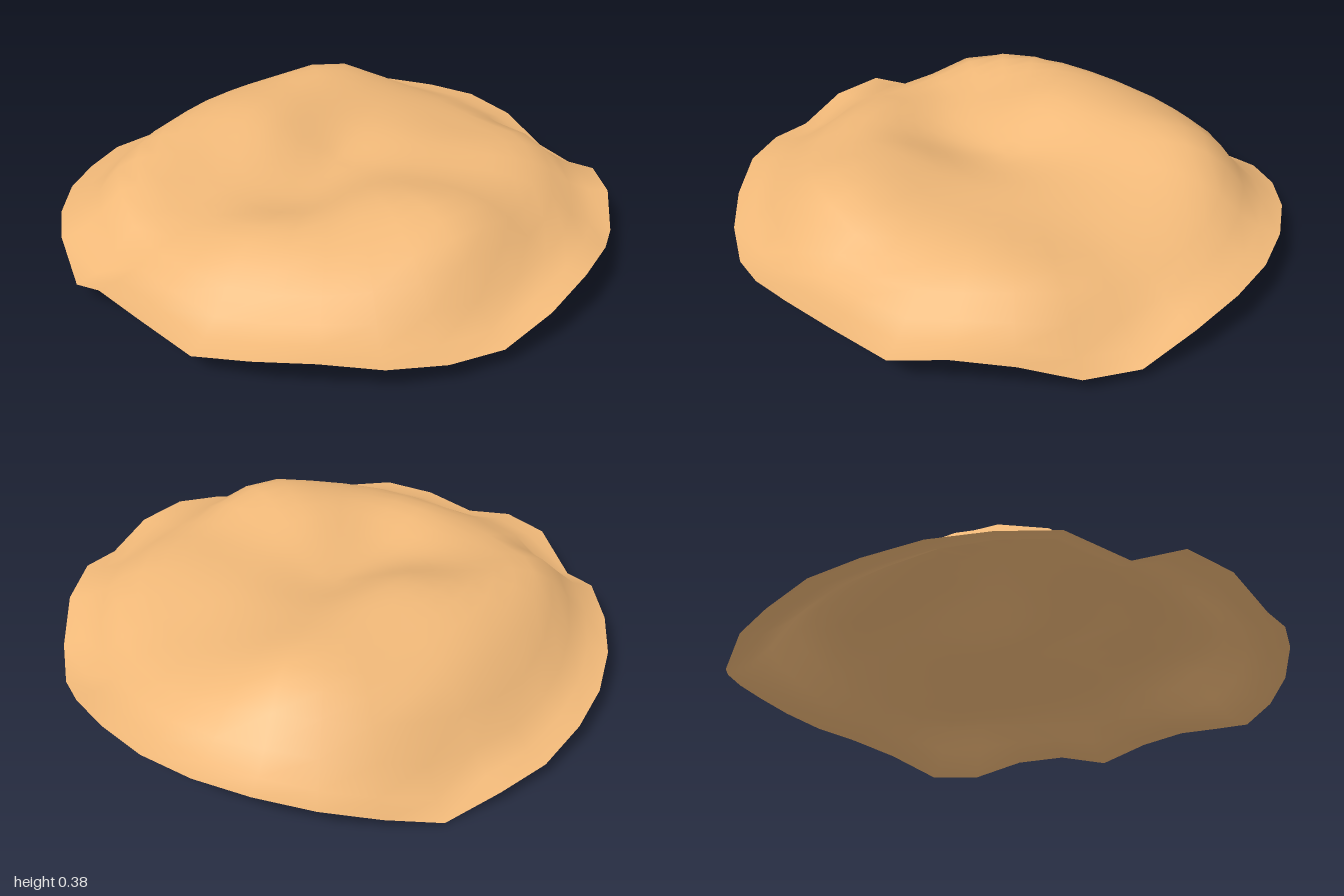
import * as THREE from 'three';
import { mergeVertices } from 'three/addons/utils/BufferGeometryUtils.js';

const SEGMENTS = 32;
const STEP = 0.3;

// Hill heights: rows run back to front, columns from -x to +x, 0.3 apart
const HILLS = [
  [0.00, 0.10, 0.20, 0.20, 0.17, 0.09, 0.05],
  [0.06, 0.22, 0.355, 0.28, 0.22, 0.22, 0.12],
  [0.10, 0.30, 0.37, 0.29, 0.27, 0.28, 0.17],
  [0.13, 0.34, 0.37, 0.25, 0.28, 0.28, 0.17],
  [0.14, 0.33, 0.28, 0.24, 0.33, 0.33, 0.16],
  [0.13, 0.26, 0.23, 0.285, 0.27, 0.22, 0.09],
  [0.10, 0.09, 0.18, 0.15, 0.15, 0.11, 0.07],
];

// Wavy rim heights, starting at the front and turning towards +x
const RIM = [
  0.08, 0.115, 0.13, 0.10, 0.08, 0.07, 0.12, 0.16,
  0.155, 0.105, 0.155, 0.14, 0.065, 0.05, 0.12, 0.15,
  0.15, 0.15, 0.14, 0.11, 0.065, 0.0, 0.045, 0.05,
  0.08, 0.09, 0.11, 0.12, 0.13, 0.06, 0.15, 0.14,
];

// Catmull-Rom interpolation along a list of values, clamped at its ends
function spline(values, t) {
  const last = values.length - 1;
  const i = THREE.MathUtils.clamp(Math.floor(t), 0, last - 1);
  const f = THREE.MathUtils.clamp(t - i, 0, 1);
  const at = (k) => values[THREE.MathUtils.clamp(k, 0, last)];
  const [a, b, c, d] = [at(i - 1), at(i), at(i + 1), at(i + 2)];
  return b + 0.5 * f * (c - a + f * (2 * a - 5 * b + 4 * c - d + f * (3 * (b - c) + d - a)));
}

function heightAt(x, z) {
  const u = x / STEP + 3;
  const v = z / STEP + 3;
  const hill = spline(HILLS.map((row) => spline(row, u)), v);
  const turn = (Math.atan2(x, z) / (2 * Math.PI) + 1) * SEGMENTS;
  const k = Math.floor(turn + 1e-4);
  const rim = THREE.MathUtils.lerp(RIM[k % SEGMENTS], RIM[(k + 1) % SEGMENTS], Math.max(0, turn - k));
  const blend = THREE.MathUtils.smoothstep(Math.hypot(x, z), 0.75, 1);
  return THREE.MathUtils.lerp(hill, rim, blend);
}

export function createModel() {
  const group = new THREE.Group();
  group.name = 'terrain';

  // Round sheet of ground, raised into hills and valleys
  let geometry = new THREE.RingGeometry(0, 1, SEGMENTS, 14);
  geometry.rotateX(-Math.PI / 2);
  geometry.deleteAttribute('uv');
  geometry.deleteAttribute('normal');
  geometry = mergeVertices(geometry, 1e-4);
  const pos = geometry.attributes.position;
  for (let i = 0; i < pos.count; i++) pos.setY(i, heightAt(pos.getX(i), pos.getZ(i)));
  geometry.computeVertexNormals();

  const sand = new THREE.MeshStandardMaterial({ color: 0xf0b878, side: THREE.DoubleSide });
  const ground = new THREE.Mesh(geometry, sand);
  ground.name = 'sandyGround';
  group.add(ground);
  return group;
}
